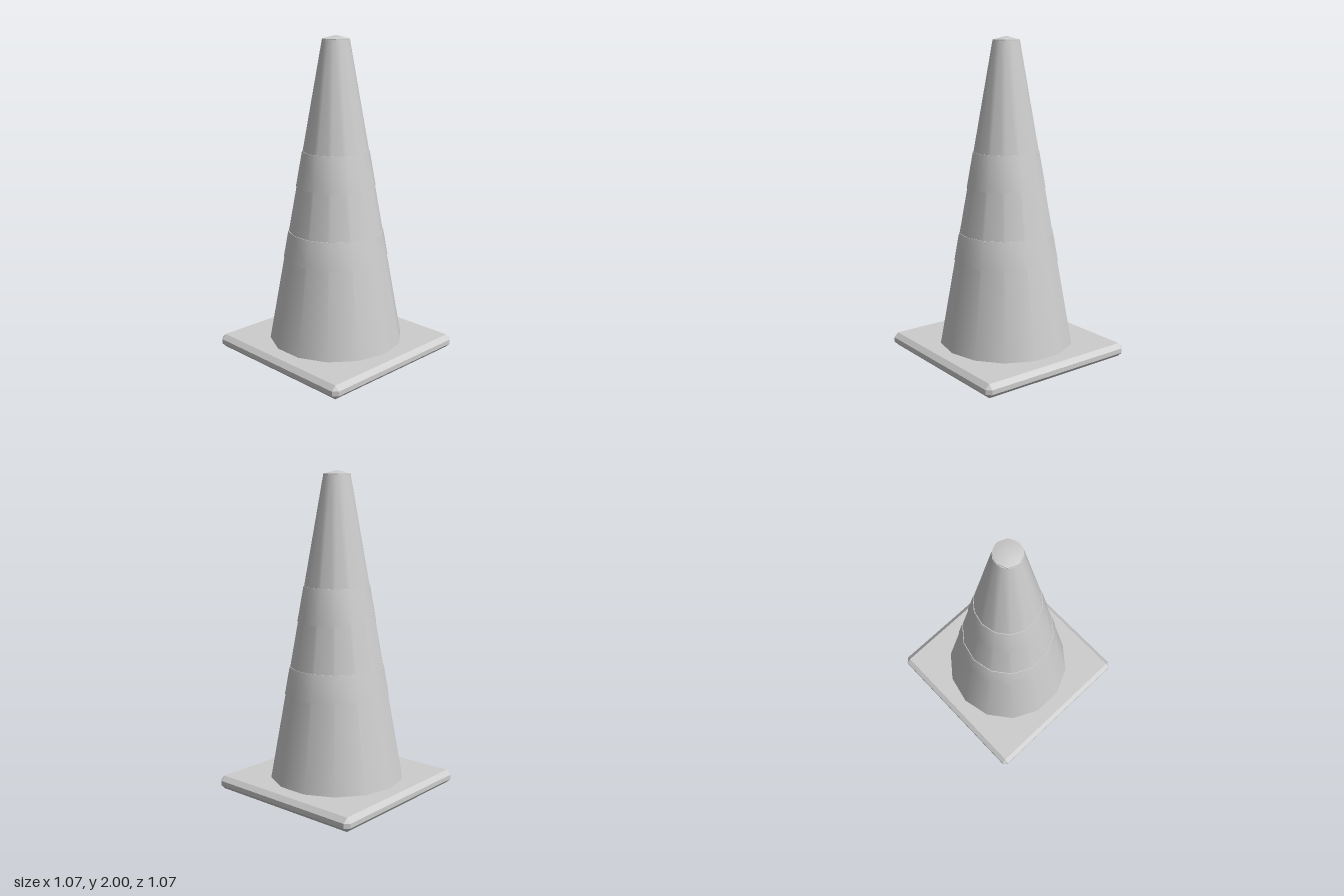
import * as THREE from 'three';
import { toCreasedNormals } from 'three/addons/utils/BufferGeometryUtils.js';
import { ConvexGeometry } from 'three/addons/geometries/ConvexGeometry.js';

const SIDES = 14;
const BASE_TOP = 0.085;
const CONE_TOP = 1.972;

// Radius of the tapering cone at height y
const coneRadius = (y) => THREE.MathUtils.mapLinear(y, BASE_TOP, CONE_TOP, 0.425, 0.085);

// Turned part that is smooth around, with sharp ledges
function turned(name, profile, sides, material) {
  const points = profile.map(([r, y]) => new THREE.Vector2(r, y));
  const geometry = toCreasedNormals(new THREE.LatheGeometry(points, sides), 0.6);
  const mesh = new THREE.Mesh(geometry, material);
  mesh.name = name;
  return mesh;
}

// Box whose edges and corners are all cut by one flat bevel
function bevelledBox(halfWidth, height, bevel) {
  const h = height / 2;
  const points = [];
  for (const sx of [-1, 1]) for (const sy of [-1, 1]) for (const sz of [-1, 1]) {
    for (let axis = 0; axis < 3; axis++) {
      const inset = [0, 1, 2].map((i) => (i === axis ? 0 : bevel));
      points.push(new THREE.Vector3(
        sx * (halfWidth - inset[0]),
        h + sy * (h - inset[1]),
        sz * (halfWidth - inset[2])
      ));
    }
  }
  return new ConvexGeometry(points);
}

export function createModel() {
  const model = new THREE.Group();
  model.name = 'trafficCone';
  const grey = new THREE.MeshStandardMaterial({ color: 0xcccccc });
  grey.name = 'light grey';

  // Square foot
  const base = new THREE.Mesh(bevelledBox(0.537, BASE_TOP, 0.028), grey);
  base.name = 'base';
  model.add(base);

  // Tapering body
  model.add(turned('coneBody', [
    [coneRadius(BASE_TOP - 0.01), BASE_TOP - 0.01],
    [coneRadius(CONE_TOP), CONE_TOP],
    [0, CONE_TOP],
  ], SIDES, grey));

  // Two slightly raised sleeves
  const raise = 0.004;
  [['lowerBand', 0.625, 0.795], ['upperBand', 1.08, 1.3]].forEach(([name, y0, y1]) => {
    model.add(turned(name, [
      [coneRadius(y0) - 0.005, y0],
      [coneRadius(y0) + raise, y0],
      [coneRadius(y1) + raise, y1],
      [coneRadius(y1) - 0.005, y1],
    ], SIDES, grey));
  });

  // Shallow pointed cap
  model.add(turned('cap', [[0.085, 1.962], [0.084, 1.978], [0, 2]], 8, grey));

  return model;
}
